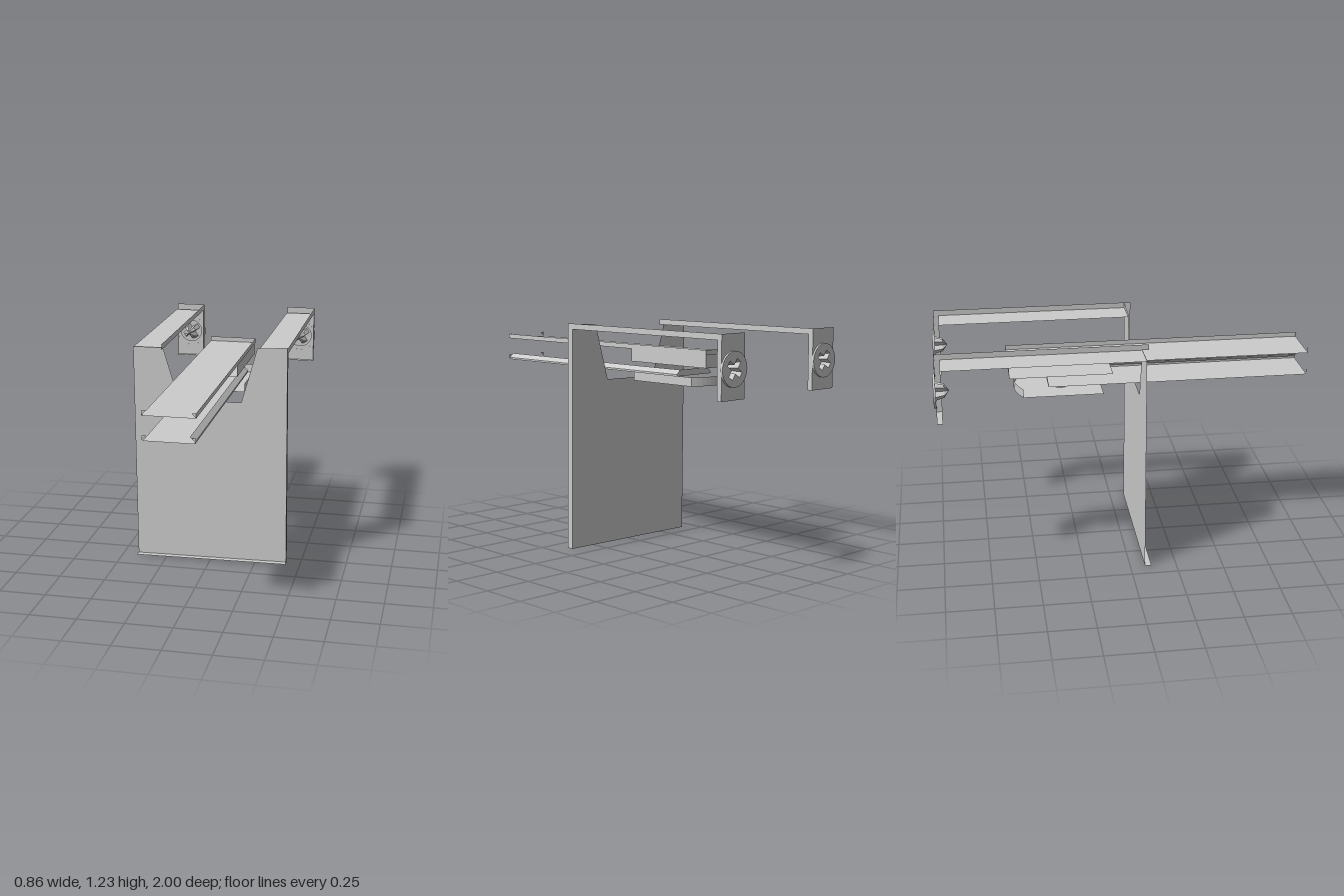
import * as THREE from 'three';

const material = new THREE.MeshStandardMaterial({ color: 0xcccccc, flatShading: true, side: THREE.DoubleSide });

function add(parent, name, geometry) {
  const mesh = new THREE.Mesh(geometry, material);
  mesh.name = name;
  parent.add(mesh);
  return mesh;
}

// Open folded sheet: only the +x, bottom and back walls of a box
function openBox([x0, x1], [y0, y1], [z0, z1], faces = [0, 3, 5]) {
  const g = new THREE.BoxGeometry(x1 - x0, y1 - y0, z1 - z0);
  const index = Array.from(g.index.array);
  g.setIndex(faces.flatMap(f => index.slice(f * 6, f * 6 + 6)));
  g.clearGroups();
  return g.translate((x0 + x1) / 2, (y0 + y1) / 2, (z0 + z1) / 2);
}

// Skin between equal-length rows of points
function loft(rows) {
  const n = rows[0].length, index = [];
  for (let r = 0; r < rows.length - 1; r++)
    for (let i = 0; i < n - 1; i++) {
      const a = r * n + i, b = a + n;
      index.push(a, a + 1, b, a + 1, b + 1, b);
    }
  const g = new THREE.BufferGeometry();
  g.setAttribute('position', new THREE.Float32BufferAttribute(rows.flat(2), 3));
  g.setIndex(index);
  g.computeVertexNormals();
  return g;
}

const shapeOf = points => new THREE.Shape(points.map(p => new THREE.Vector2(...p)));

// Outline of a four-armed screw recess, flared at the arm tips
function crossPoints(scale) {
  const points = [];
  for (let k = 0; k < 4; k++) {
    const a = k * Math.PI / 2 + 0.6, c = Math.cos(a), s = Math.sin(a);
    for (const [u, v] of [[0.016, -0.016], [0.052, -0.015], [0.052, 0.015]])
      points.push([(u * c - v * s) * scale, (u * s + v * c) * scale]);
  }
  return points;
}

function screw(x, y) {
  const group = new THREE.Group();
  group.name = 'screw';
  const R = 0.088;
  const head = new THREE.Shape().absarc(0, 0, R, 0, Math.PI * 2);
  head.holes.push(new THREE.Path(crossPoints(1).map(p => new THREE.Vector2(...p))));
  add(group, 'screwHead', new THREE.ShapeGeometry(head, 12)).position.z = -0.999;
  const rim = new THREE.CylinderGeometry(R, R, 0.012, 24, 1, true).rotateX(Math.PI / 2);
  add(group, 'screwRim', rim).position.z = -0.993;
  const ring = (scale, z) => {
    const p = crossPoints(scale);
    return [...p, p[0]].map(([u, v]) => [u, v, z]);
  };
  add(group, 'crossRecess', loft([ring(1, -0.999), ring(0.7, -0.945), ring(0.02, -0.92)]));
  group.position.set(x, y, 0);
  return group;
}

// Arm with a turned-down tab and its screw
function arm(name, x0, x1, top) {
  const group = new THREE.Group();
  group.name = name;
  add(group, 'armStrip', openBox([x0, x1], [top - 0.03, top], [-0.96, 0.115], [0]));
  add(group, 'armFloor', openBox([x0, x1], [top - 0.03, top], [-0.96, 0.08], [3]));
  add(group, 'tabSides', openBox([x0, x1], [0.905, top], [-0.988, -0.96], [0, 3]));
  const cx = (x0 + x1) / 2, cy = 1.055;
  const tab = shapeOf([[x0, 0.905], [x1, 0.905], [x1, top], [x0, top]]);
  tab.holes.push(new THREE.Path().absarc(cx, cy, 0.065, 0, Math.PI * 2));
  add(group, 'tab', new THREE.ShapeGeometry(tab)).position.z = -0.988;
  group.add(screw(cx, cy));
  return group;
}

export function createModel() {
  const model = new THREE.Group();
  model.name = 'bracket';

  // Notched plate with its bottom and side edges
  const outline = [[-0.42, 0], [0.427, 0.01], [0.415, 1.225], [0.25, 1.215], [0.165, 0.913],
    [-0.178, 0.907], [-0.265, 1.195], [-0.43, 1.195]];
  add(model, 'plate', new THREE.ShapeGeometry(shapeOf(outline))).position.z = 0.08;
  const edge = outline.slice(0, 3);
  add(model, 'plateEdges', loft([0.08, 0.115].map(z => edge.map(([x, y]) => [x, y, z]))));

  model.add(arm('rightArm', -0.432, -0.265, 1.22), arm('leftArm', 0.25, 0.415, 1.226));

  // Upper rail and the block under its back end
  add(model, 'upperRail', openBox([-0.145, 0.12], [1.085, 1.11], [-0.61, 1]));
  add(model, 'upperBlock', openBox([-0.14, 0.115], [1.017, 1.085], [-0.605, -0.055]));

  // Lower rail: floor, slanted side and closed back end
  const section = [[-0.14, 0.96], [0.115, 0.96], [0.115, 0.97], [0.09, 0.993]];
  add(model, 'lowerRail', loft([-0.4, 1].map(z => section.map(([x, y]) => [x, y, z]))));
  add(model, 'lowerRailEnd', new THREE.ShapeGeometry(
    shapeOf([...section, [-0.115, 0.993], [-0.14, 0.97]]))).position.z = -0.4;

  // Small corner lips at the front of both rails
  for (const [y, h] of [[1.085, 0.025], [0.962, 0.025]])
    for (const [x, s] of [[-0.145, 1], [0.12, -1]])
      add(model, 'cornerLip', new THREE.ShapeGeometry(
        shapeOf([[x, y], [x + s * 0.022, y + h], [x, y + h]]))).position.z = 0.999;

  // Round-ended pad: floor plus the side and curved back walls
  const curve = [];
  for (let i = 0; i <= 12; i++) {
    const t = i / 6 - 1;
    curve.push([-0.013 - t * 0.16, -0.535 - 0.043 * (1 - t * t)]);
  }
  const padLine = [[0.147, -0.11], ...curve];
  const floor = new THREE.ShapeGeometry(shapeOf([...padLine, [-0.173, -0.11]]));
  add(model, 'padFloor', floor.rotateX(Math.PI / 2)).position.y = 0.92;
  add(model, 'padWall', loft([0.92, 0.967].map(y => padLine.map(([x, z]) => [x, y, z]))));

  // Pivot under the pad
  const pivot = new THREE.LatheGeometry(
    [[0, 0.006], [0.04, 0.004], [0.045, -0.005], [0.053, 0]].map(p => new THREE.Vector2(...p)), 24);
  add(model, 'pivot', pivot).position.set(-0.013, 0.919, -0.33);

  return model;
}
